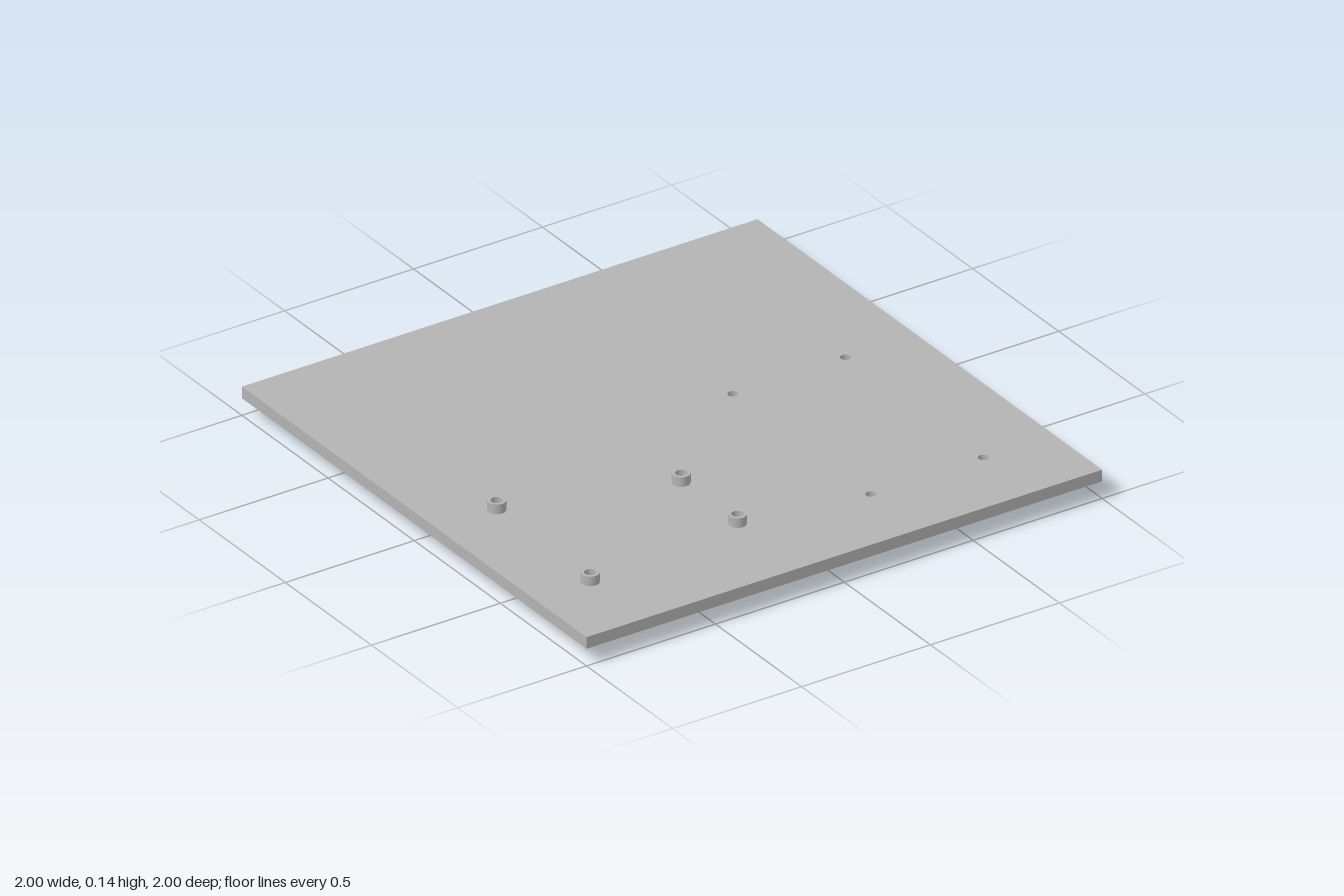
import * as THREE from 'three';

const postSpots = [[-0.77, 0.135], [-0.785, 0.70], [-0.175, 0.315], [-0.175, 0.642]];
const holeSpots = [[0.29, -0.08], [0.727, -0.08], [0.29, 0.72], [0.727, 0.72]];
const HOLE_R = 0.018;
const PLATE_Y = 0.063, PLATE_TOP = 0.106, POST_TOP = 0.141;

function squareShape(half) {
  return new THREE.Shape([
    new THREE.Vector2(-half, -half), new THREE.Vector2(half, -half),
    new THREE.Vector2(half, half), new THREE.Vector2(-half, half),
  ]);
}

function circlePath(x, y, r) {
  return new THREE.Path().absarc(x, y, r, 0, Math.PI * 2, true);
}

// Extrudes a flat shape upward from y0 to y1; shape y becomes -z
function slab(name, shape, y0, y1, material, segments = 3) {
  const geometry = new THREE.ExtrudeGeometry(shape, { depth: y1 - y0, bevelEnabled: false, curveSegments: segments });
  geometry.rotateX(-Math.PI / 2);
  geometry.translate(0, y0, 0);
  const mesh = new THREE.Mesh(geometry, material);
  mesh.name = name;
  return mesh;
}

export function createModel() {
  const grey = new THREE.MeshStandardMaterial({ color: 0xb3b3b3, flatShading: true });
  grey.name = 'plain grey';
  const model = new THREE.Group();
  model.name = 'mountingPlate';

  // Square plate with through holes
  const plate = squareShape(1);
  for (const [x, z] of [...postSpots, ...holeSpots]) plate.holes.push(circlePath(x, -z, HOLE_R));
  model.add(slab('plate', plate, PLATE_Y, PLATE_TOP, grey, 12));

  // Hollow square rim underneath
  const rim = squareShape(0.385);
  rim.holes.push(squareShape(0.36));
  model.add(slab('lowerRim', rim, 0, PLATE_Y, grey));

  // Hollow standoffs on top
  postSpots.forEach(([x, z], i) => {
    const ring = new THREE.Shape().absarc(0, 0, 0.031, 0, Math.PI * 2, false);
    ring.holes.push(circlePath(0, 0, 0.02));
    const post = slab('standoff' + (i + 1), ring, PLATE_TOP, POST_TOP, grey, 12);
    post.position.set(x, 0, z);
    model.add(post);
  });

  return model;
}
